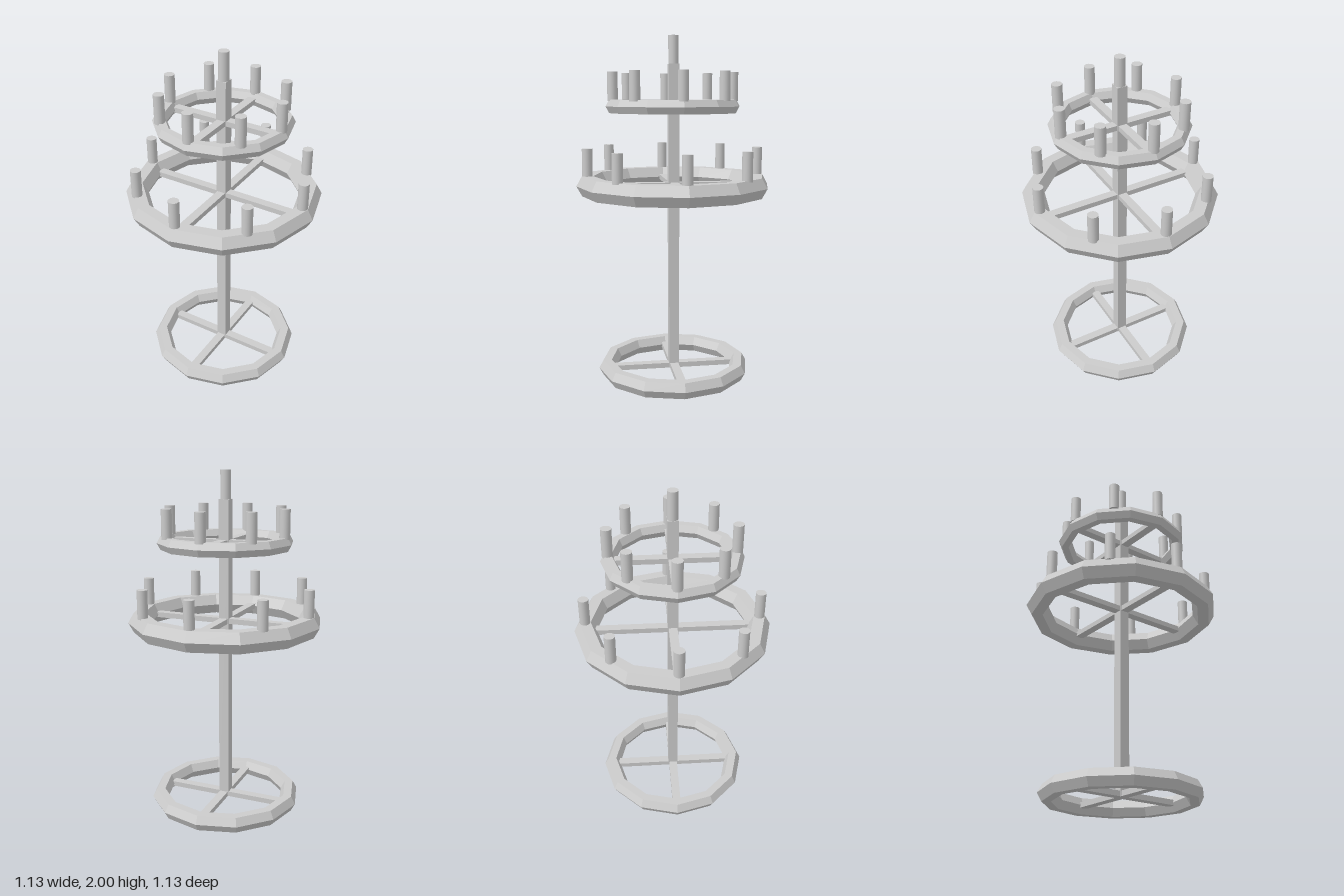
import * as THREE from 'three';

const flat = new THREE.MeshStandardMaterial({ color: 0xcccccc, flatShading: true });
const smooth = new THREE.MeshStandardMaterial({ color: 0xcccccc });

function add(parent, name, geometry, material, x, y, z) {
  const mesh = new THREE.Mesh(geometry, material);
  mesh.name = name;
  mesh.position.set(x, y, z);
  parent.add(mesh);
}

const candleGeometry = new THREE.CylinderGeometry(0.03, 0.03, 0.165, 16);

// A twelve-sided hoop of hexagonal section, with crossed spokes and optional candles
function makeTier(name, y, radius, tube, halfHeight, candles) {
  const tier = new THREE.Group();
  tier.name = name;
  tier.position.y = y;

  const hoop = new THREE.TorusGeometry(radius, tube, 6, 12);
  hoop.rotateX(Math.PI / 2);
  hoop.scale(1, halfHeight / (tube * Math.sin(Math.PI / 3)), 1);
  add(tier, 'hoop', hoop, flat, 0, 0, 0);

  const length = radius * 2;
  add(tier, 'spokeAcross', new THREE.BoxGeometry(length, 0.03, 0.05), flat, 0, 0, 0);
  add(tier, 'spokeDeep', new THREE.BoxGeometry(0.05, 0.03, length), flat, 0, 0, 0);

  for (let i = 0; i < candles; i++) {
    const a = (i / candles) * Math.PI * 2;
    add(tier, 'candle', candleGeometry, smooth,
      Math.cos(a) * radius, halfHeight + 0.075, Math.sin(a) * radius);
  }
  return tier;
}

export function createModel() {
  const model = new THREE.Group();
  model.name = 'candleStand';

  // Base hoop and the two candle tiers
  model.add(makeTier('base', 0.046, 0.4, 0.05, 0.046, 0));
  model.add(makeTier('lowerTier', 1.145, 0.5, 0.065, 0.058, 8));
  model.add(makeTier('upperTier', 1.6, 0.35, 0.041, 0.038, 8));

  // Square post with a candle on top
  const bottom = 0.035, top = 1.84;
  add(model, 'post', new THREE.BoxGeometry(0.06, top - bottom, 0.06), flat, 0, (top + bottom) / 2, 0);
  add(model, 'topCandle', candleGeometry, smooth, 0, 2 - 0.0825, 0);

  return model;
}
